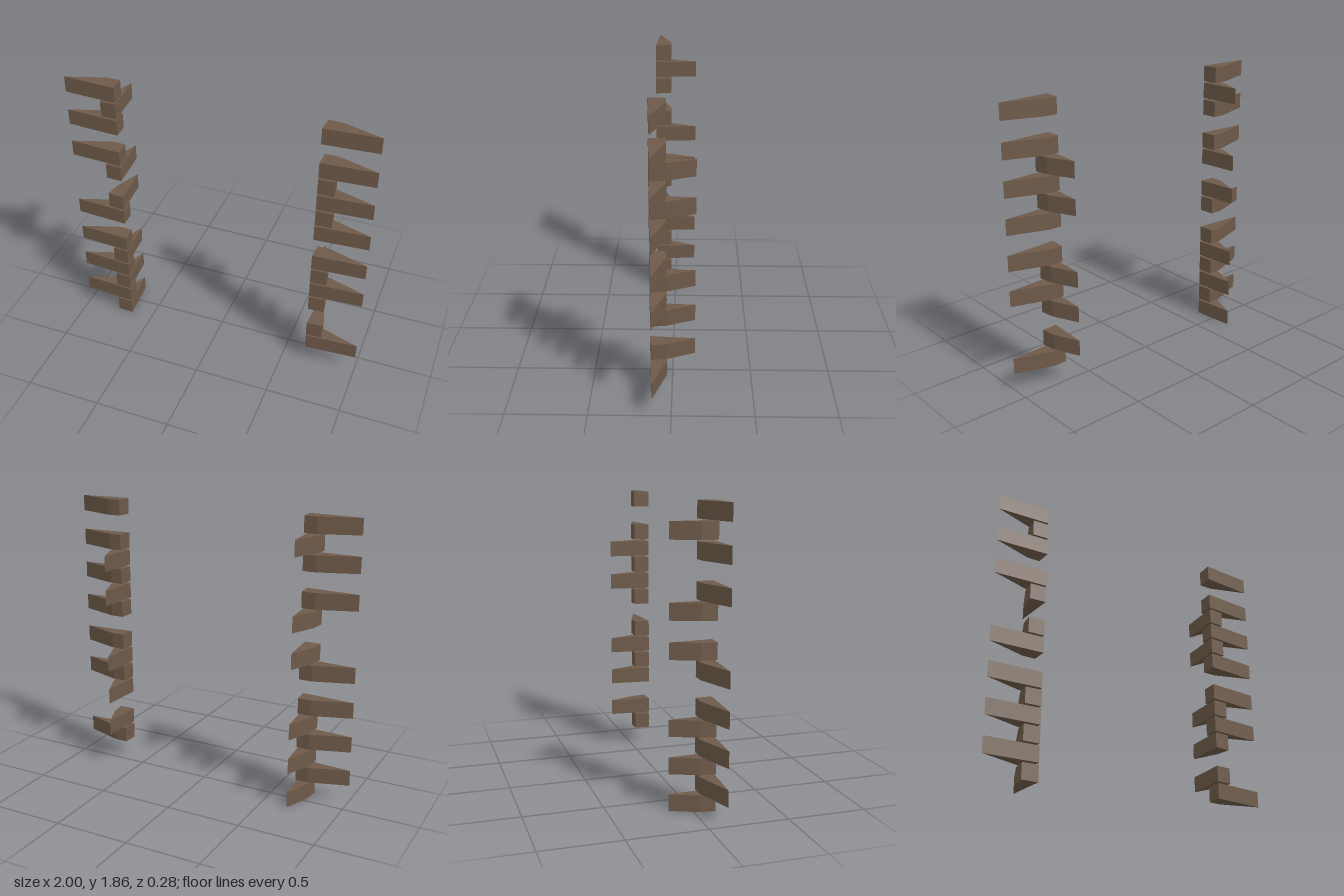
import * as THREE from 'three';

const HEIGHT = 0.105;
const PITCH = 0.1168;

// Plan outlines as [x, z] for the model's left (+x) corner
const LONG = [[0.652, 0.137], [1.0, 0.116], [0.745, 0.033], [0.658, 0.033]];
const SHORT = [[0.652, 0.137], [0.758, 0.131], [0.745, 0.033], [0.672, -0.14]];

// Course numbers, counted from the ground, that are present in each column
const COLUMNS = [
  { name: 'left', side: 1, courses: [1, 2, 4, 5, 6, 7, 9, 10, 11, 12, 13, 15] },
  { name: 'right', side: -1, courses: [0, 1, 2, 3, 4, 5, 7, 8, 10, 11, 13, 14, 15] },
];

// Wedge stone: plan outline extruded upwards
function stoneGeometry(outline, side) {
  const shape = new THREE.Shape(outline.map(([x, z]) => new THREE.Vector2(side * x, -z)));
  const geometry = new THREE.ExtrudeGeometry(shape, { depth: HEIGHT, bevelEnabled: false });
  return geometry.rotateX(-Math.PI / 2);
}

export function createModel() {
  const model = new THREE.Group();
  model.name = 'cornerStones';
  const stone = new THREE.MeshStandardMaterial({ color: 0x6e5a49 });
  stone.name = 'brownStone';

  for (const { name, side, courses } of COLUMNS) {
    const column = new THREE.Group();
    column.name = `${name}Column`;
    const front = stoneGeometry(LONG, side);
    const back = stoneGeometry(SHORT, side);

    // Odd courses run along the front, even courses run to the back
    for (const course of courses) {
      const odd = course % 2 === 1;
      const mesh = new THREE.Mesh(odd ? front : back, stone);
      mesh.name = `${name}${odd ? 'Front' : 'Side'}Stone${course}`;
      mesh.position.y = course * PITCH;
      column.add(mesh);
    }
    model.add(column);
  }
  return model;
}
